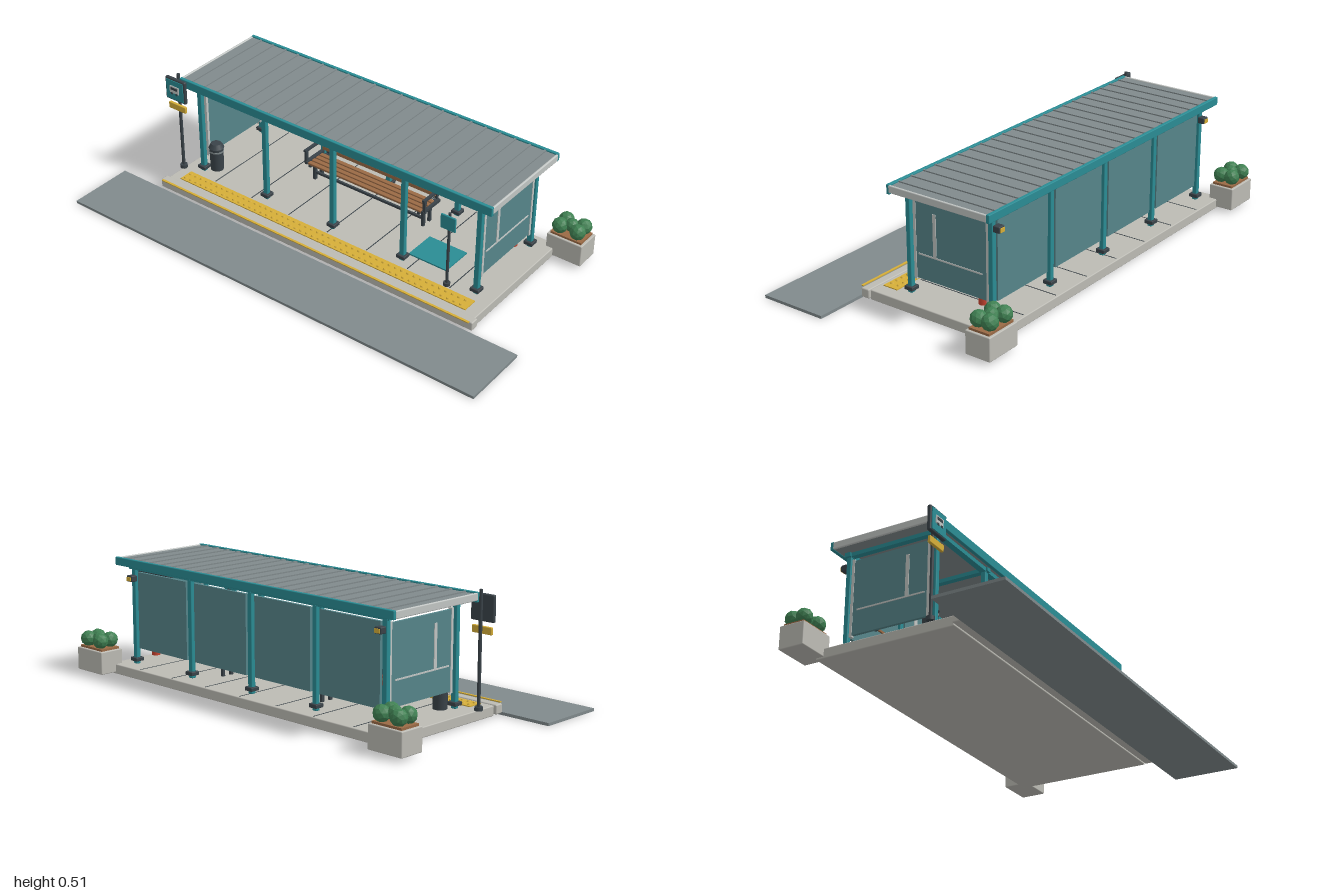
import * as THREE from 'three';
import { RoundedBoxGeometry } from 'three/addons/geometries/RoundedBoxGeometry.js';

const mat = (name, color, flat = false) => {
  const m = new THREE.MeshStandardMaterial({ color, flatShading: flat });
  m.name = name;
  return m;
};

export function createModel() {
  const teal = mat('teal paint', 0x2a8c94);
  const glass = mat('tinted glass', 0x56858a);
  const concrete = mat('concrete', 0xbcbbb4);
  const grey = mat('roof and asphalt grey', 0x808a8c);
  const dark = mat('dark metal', 0x3a4349);
  const pale = mat('pale metal', 0xc2c6c4);
  const wood = mat('wood', 0x9a6a45);
  const yellow = mat('yellow', 0xd6ae38);
  const red = mat('red', 0xc8432f);
  const leaf = mat('leaf green', 0x3f8052, true);

  const model = new THREE.Group();
  model.name = 'busShelter';
  const group = (name, parent = model) => {
    const g = new THREE.Group();
    g.name = name;
    parent.add(g);
    return g;
  };
  const add = (parent, name, geo, m, x, y, z) => {
    const mesh = new THREE.Mesh(geo, m);
    mesh.name = name;
    mesh.position.set(x, y, z);
    parent.add(mesh);
    return mesh;
  };
  // Box given by its min and max on each axis
  const box = (p, name, m, x0, x1, y0, y1, z0, z1, r = 0) => {
    const s = [x1 - x0, y1 - y0, z1 - z0];
    const geo = r ? new RoundedBoxGeometry(...s, 2, r) : new THREE.BoxGeometry(...s);
    return add(p, name, geo, m, (x0 + x1) / 2, (y0 + y1) / 2, (z0 + z1) / 2);
  };
  const cyl = (p, name, m, x, z, y0, y1, r, r2 = r, n = 16) =>
    add(p, name, new THREE.CylinderGeometry(r2, r, y1 - y0, n), m, x, (y0 + y1) / 2, z);

  // Ground: road, platform, curb and tactile paving
  const ground = group('ground');
  box(ground, 'road', grey, -1, 1, 0, 0.012, 0.21, 0.5);
  box(ground, 'platform', concrete, -0.78, 0.78, 0.005, 0.046, -0.43, 0.165, 0.004);
  box(ground, 'curb', concrete, -0.792, 0.792, 0.012, 0.05, 0.163, 0.2, 0.005);
  box(ground, 'curbLine', yellow, -0.78, 0.78, 0.05, 0.054, 0.2, 0.21);
  for (let i = -3; i <= 3; i++) box(ground, 'slabJoint', dark, i * 0.2 - 0.002, i * 0.2 + 0.002, 0.045, 0.047, -0.42, 0.07);
  box(ground, 'tactileStrip', yellow, -0.73, 0.725, 0.046, 0.05, 0.08, 0.147);
  const dome = new THREE.CylinderGeometry(0.006, 0.009, 0.005, 8);
  for (let i = 0; i < 48; i++)
    for (const z of [0.097, 0.13]) add(ground, 'tactileDome', dome, yellow, -0.715 + i * 0.03, 0.0525, z);
  box(ground, 'waitingMat', teal, 0.35, 0.53, 0.046, 0.052, -0.155, -0.01);

  // Roof with ribs, fascias and beams
  const roof = group('roof');
  box(roof, 'roofDeck', grey, -0.765, 0.765, 0.463, 0.488, -0.388, 0.062);
  for (let i = 0; i < 22; i++) {
    const x = -0.714 + i * 0.068;
    box(roof, 'roofRib', grey, x - 0.004, x + 0.004, 0.487, 0.493, -0.385, 0.06);
  }
  for (const s of [-1, 1]) box(roof, 'endTrim', pale, s * 0.766 - 0.005, s * 0.766 + 0.005, 0.462, 0.492, -0.388, 0.065, 0.004);
  box(roof, 'frontFascia', teal, -0.77, 0.77, 0.455, 0.494, 0.06, 0.075, 0.003);
  box(roof, 'backFascia', teal, -0.77, 0.77, 0.46, 0.494, -0.4, -0.385, 0.003);
  for (const z of [0.03, -0.355]) box(roof, 'longBeam', teal, -0.72, 0.72, 0.446, 0.464, z - 0.013, z + 0.013);
  for (let i = -2; i <= 2; i++) box(roof, 'crossBeam', teal, i * 0.35 - 0.012, i * 0.35 + 0.012, 0.447, 0.463, -0.37, 0.05);

  // Posts with collars
  const posts = group('posts');
  for (let i = -2; i <= 2; i++)
    for (const z of [0.03, -0.355]) {
      const x = i * 0.349;
      box(posts, 'post', teal, x - 0.011, x + 0.011, 0.046, 0.455, z - 0.01, z + 0.01, 0.003);
      box(posts, 'postCollar', dark, x - 0.02, x + 0.02, 0.058, 0.074, z - 0.02, z + 0.02, 0.003);
    }

  // Glass walls with pale reflection strips
  const walls = group('walls');
  for (let i = 0; i < 4; i++) {
    const x = (i - 1.5) * 0.349;
    box(walls, 'backGlass', glass, x - 0.15, x + 0.15, 0.115, 0.437, -0.361, -0.349);
    box(walls, 'glassStrip', pale, x - 0.085, x - 0.065, 0.2, 0.4, -0.349, -0.347);
    box(walls, 'backRail', wood, x - 0.15, x + 0.15, 0.219, 0.227, -0.349, -0.342);
  }
  for (const s of [-1, 1]) {
    const x = s * 0.695, xo = s * 0.702;
    box(walls, 'sideGlass', glass, x - 0.006, x + 0.006, 0.117, 0.43, -0.333, 0);
    for (const z of [0.003, -0.337]) box(walls, 'sideFrame', pale, x - 0.008, x + 0.008, 0.11, 0.436, z - 0.006, z + 0.006);
    box(walls, 'sideRail', pale, xo - 0.002, xo + 0.002, 0.215, 0.221, -0.312, -0.014);
    box(walls, 'sideStrip', pale, xo - 0.0015, xo + 0.0015, 0.22, 0.393, -0.099, -0.084);
  }

  // Rear wall lamps
  for (const s of [-1, 1]) {
    const lamp = group('rearLamp');
    box(lamp, 'lampBody', dark, s * 0.69 - 0.016, s * 0.69 + 0.016, 0.398, 0.424, -0.394, -0.364, 0.004);
    box(lamp, 'lampLens', yellow, s * 0.69 - 0.012, s * 0.69 + 0.012, 0.402, 0.418, -0.398, -0.393);
  }

  // Bench
  const bench = group('bench');
  for (let i = 0; i < 4; i++) {
    const z = -0.18 - i * 0.026;
    box(bench, 'seatSlat', wood, -0.29, 0.29, 0.132, 0.142, z - 0.01, z + 0.01, 0.002);
    const y = 0.166 + i * 0.025;
    box(bench, 'backSlat', wood, -0.29, 0.29, y - 0.009, y + 0.009, -0.279 - i * 0.006, -0.269 - i * 0.006, 0.002);
  }
  for (const s of [-1, 1]) {
    const leg = (name, x, y0, y1, z0, z1) => box(bench, name, dark, s * x - 0.006, s * x + 0.006, y0, y1, z0, z1);
    leg('frontLeg', 0.28, 0.046, 0.132, -0.214, -0.2);
    leg('rearLeg', 0.28, 0.046, 0.132, -0.258, -0.245);
    leg('seatBearer', 0.28, 0.122, 0.132, -0.29, -0.17);
    leg('backSupport', 0.28, 0.13, 0.257, -0.305, -0.293);
    leg('armPost', 0.304, 0.13, 0.195, -0.184, -0.172);
    leg('armRest', 0.304, 0.188, 0.198, -0.29, -0.168);
    leg('armBase', 0.3, 0.13, 0.142, -0.29, -0.17);
  }
  box(bench, 'stretcher', dark, -0.28, 0.28, 0.076, 0.086, -0.213, -0.203);

  // Map case on the left bay, timetable with header on the right bay
  const board = (name, x0, x1, y0, y1) => {
    const g = group(name);
    box(g, 'caseFrame', dark, x0, x1, y0, y1, -0.347, -0.33, 0.004);
    box(g, 'caseSheet', pale, x0 + 0.01, x1 - 0.01, y0 + 0.01, y1 - 0.01, -0.331, -0.328);
    return g;
  };
  const map = board('mapCase', -0.662, -0.53, 0.205, 0.415);
  box(map, 'mapFold', grey, -0.622, -0.618, 0.215, 0.405, -0.328, -0.326);
  const times = board('timetable', 0.528, 0.682, 0.2, 0.418);
  for (let i = 0; i < 6; i++) {
    const y = 0.375 - i * 0.026;
    box(times, 'timetableRow', dark, 0.555, 0.655 - (i % 2) * 0.02, y - 0.004, y + 0.004, -0.328, -0.326);
  }
  box(times, 'timetableHood', dark, 0.51, 0.69, 0.428, 0.447, -0.345, -0.308);
  for (let i = 0; i < 7; i++) box(times, 'hoodVent', grey, 0.525 + i * 0.023, 0.537 + i * 0.023, 0.433, 0.441, -0.308, -0.306);

  // Emergency call box and fire extinguisher
  const call = group('callBox');
  box(call, 'callCase', red, -0.675, -0.627, 0.16, 0.236, -0.347, -0.31, 0.004);
  box(call, 'callPlate', pale, -0.664, -0.638, 0.185, 0.218, -0.311, -0.307);
  box(call, 'callButton', dark, -0.655, -0.647, 0.195, 0.207, -0.308, -0.304);
  const ext = group('extinguisher');
  cyl(ext, 'extinguisherBody', red, 0.662, -0.283, 0.077, 0.145, 0.018);
  cyl(ext, 'extinguisherShoulder', red, 0.662, -0.283, 0.145, 0.157, 0.018, 0.007);
  box(ext, 'extinguisherHandle', dark, 0.65, 0.674, 0.157, 0.167, -0.289, -0.277);

  // Litter bin
  const bin = group('litterBin');
  cyl(bin, 'binBody', dark, -0.662, -0.012, 0.046, 0.155, 0.028, 0.031, 20);
  cyl(bin, 'binBand', grey, -0.662, -0.012, 0.135, 0.142, 0.032, 0.032, 20);
  cyl(bin, 'binLid', dark, -0.662, -0.012, 0.155, 0.174, 0.034, 0.022, 20);

  // Stop sign on a tall pole
  const stop = group('stopSign');
  cyl(stop, 'stopPole', dark, -0.782, 0.068, 0.046, 0.507, 0.007);
  cyl(stop, 'stopPoleBase', dark, -0.782, 0.068, 0.046, 0.062, 0.016);
  box(stop, 'signBack', dark, -0.836, -0.728, 0.385, 0.49, 0.075, 0.092, 0.006);
  box(stop, 'signFace', teal, -0.828, -0.736, 0.393, 0.482, 0.09, 0.095);
  box(stop, 'vehicleShape', pale, -0.807, -0.757, 0.425, 0.458, 0.095, 0.098);
  box(stop, 'vehicleWindow', dark, -0.8, -0.764, 0.441, 0.452, 0.098, 0.1);
  for (const x of [-0.795, -0.769]) box(stop, 'vehicleWheel', dark, x - 0.005, x + 0.005, 0.419, 0.428, 0.098, 0.1);
  box(stop, 'routePlate', yellow, -0.827, -0.735, 0.338, 0.367, 0.075, 0.088, 0.003);

  // Small sign beside the waiting mat
  const small = group('accessSign');
  cyl(small, 'accessPole', dark, 0.58, 0.06, 0.046, 0.385, 0.006);
  cyl(small, 'accessPoleBase', dark, 0.58, 0.06, 0.046, 0.06, 0.014);
  box(small, 'accessPlate', teal, 0.546, 0.614, 0.313, 0.376, 0.064, 0.073, 0.003);

  // Planters with clustered shrubs
  const bush = new THREE.IcosahedronGeometry(0.034, 1);
  const spots = [[-0.04, -0.026], [0.04, -0.026], [-0.04, 0.024], [0.04, 0.024], [0, 0]];
  for (const s of [-1, 1]) {
    const p = group(s < 0 ? 'rightPlanter' : 'leftPlanter');
    p.position.set(s * 0.827, 0, -0.45);
    box(p, 'planterBox', concrete, -0.08, 0.08, 0.012, 0.108, -0.055, 0.055, 0.004);
    box(p, 'planterSoil', wood, -0.07, 0.07, 0.106, 0.117, -0.045, 0.045);
    spots.forEach(([x, z], i) => {
      const b = add(p, 'shrub', bush, leaf, x, i === 4 ? 0.15 : 0.146, z);
      b.rotation.set(i * 0.7, i * 1.3, 0);
      b.scale.setScalar(i === 4 ? 0.85 : 0.97);
    });
  }
  return model;
}
